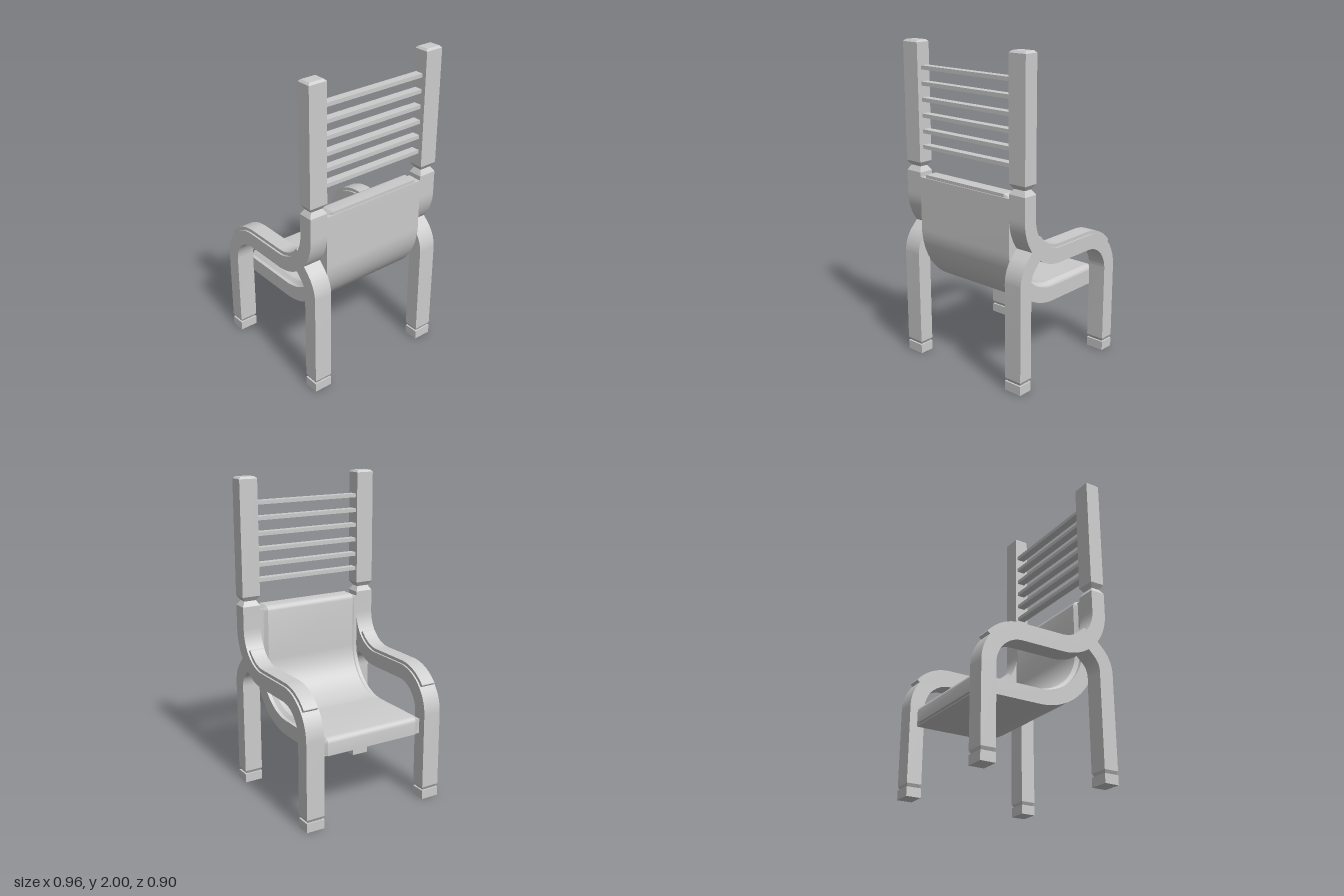
import * as THREE from 'three';
import { toCreasedNormals } from 'three/addons/utils/BufferGeometryUtils.js';

const material = new THREE.MeshStandardMaterial({ color: 0xcccccc });
const W = 0.12, D = 0.095, H = D / 2;   // timber width, depth and half depth
const SIDE = 0.421;                     // x of the side frames
const POST_Z = 0.3725, REAR_Z = 0.4075, FRONT_Z = -0.4025;
const rad = THREE.MathUtils.degToRad;

function add(parent, name, geometry, x = 0, y = 0, z = 0) {
  const mesh = new THREE.Mesh(geometry, material);
  mesh.name = name;
  mesh.position.set(x, y, z);
  parent.add(mesh);
}

// Band following a path in the (z, y) plane between two offsets, with optional rounded upper corners
function ribbon(path, low, high, round = 0) {
  const pts = path.getPoints(20).filter((p, i, a) => i === 0 || p.distanceTo(a[i - 1]) > 1e-3);
  const last = pts.length - 1;
  const dirs = pts.map((p, i) => {
    const d = new THREE.Vector2();
    if (i > 0) d.add(p.clone().sub(pts[i - 1]).normalize());
    if (i < last) d.add(pts[i + 1].clone().sub(p).normalize());
    return d.normalize();
  });
  const at = (i, offset, along = 0) => new THREE.Vector2(
    pts[i].x + dirs[i].y * offset + dirs[i].x * along,
    pts[i].y - dirs[i].x * offset + dirs[i].y * along);
  const corner = (i, sign) => {
    if (!round) return [at(i, high)];
    const out = [];
    for (let k = 0; k <= 4; k++) {
      const a = k / 4 * Math.PI / 2;
      out.push(at(i, high - round * (1 - Math.sin(a)), sign * round * (1 - Math.cos(a))));
    }
    return out;
  };
  const upper = [...corner(0, 1)];
  for (let i = 1; i < last; i++) upper.push(at(i, high));
  upper.push(...corner(last, -1).reverse());
  const lower = pts.map((p, i) => at(i, low)).reverse();
  return new THREE.Shape([...upper, ...lower]);
}

// Extrude a side profile across x, centred
function across(shape, width, bevel = 0) {
  const depth = width - 2 * bevel;
  const g = new THREE.ExtrudeGeometry(shape, {
    depth, bevelEnabled: bevel > 0, bevelThickness: bevel, bevelSize: 0.02, bevelSegments: 1,
  });
  g.translate(0, 0, -depth / 2).rotateY(-Math.PI / 2);
  return toCreasedNormals(g, 0.6);
}

// Timber block standing on its base, inset at the bottom or top
function block(height, insetBottom = 0, insetTop = 0) {
  const g = new THREE.BoxGeometry(W, height, D).translate(0, height / 2, 0);
  const p = g.attributes.position;
  for (let i = 0; i < p.count; i++) {
    const inset = p.getY(i) > height / 2 ? insetTop : insetBottom;
    p.setX(i, p.getX(i) - Math.sign(p.getX(i)) * inset);
    p.setZ(i, p.getZ(i) - Math.sign(p.getZ(i)) * inset);
  }
  g.computeVertexNormals();
  return g;
}

function sideFrame(name) {
  const frame = new THREE.Group();
  frame.name = name;

  // Arm sweeping from the back post into the far leg
  const arm = new THREE.Path();
  arm.moveTo(POST_Z, 1.2);
  arm.lineTo(POST_Z, 1.0575);
  arm.absarc(0.1, 1.0575, 0.2725, 0, -Math.PI / 2, true);
  arm.absarc(-0.18, 0.5625, 0.2225, Math.PI / 2, Math.PI, false);
  arm.lineTo(FRONT_Z, 0.08);
  add(frame, 'armAndLeg', across(ribbon(arm, -H, H), W));

  // Thin pad on the arm
  const pad = new THREE.Path();
  pad.absarc(0.1, 1.0575, 0.2725, rad(-36), rad(-90), true);
  pad.absarc(-0.18, 0.5625, 0.2225, rad(90), rad(141), false);
  add(frame, 'armPad', across(ribbon(pad, 0.04, 0.068, 0.006), 0.096));

  // Leg under the backrest, bending into the arm
  const leg = new THREE.Path();
  leg.moveTo(REAR_Z, 0.08);
  leg.lineTo(REAR_Z, 0.67);
  leg.absarc(REAR_Z - 0.17, 0.67, 0.17, 0, Math.PI / 4, false);
  leg.lineTo(0.315, 0.833);
  add(frame, 'backLeg', across(ribbon(leg, -H, H), W));

  // Feet with a narrowed neck
  for (const z of [REAR_Z, FRONT_Z]) {
    add(frame, 'foot', block(0.058), 0, 0, z);
    add(frame, 'footNeck', block(0.022, 0.012, 0), 0, 0.058, z);
  }

  // Upper post with a waist below and a bevelled top
  add(frame, 'lowerWaist', block(0.032, 0, 0.02), 0, 1.2, POST_Z);
  add(frame, 'upperWaist', block(0.03, 0.02, 0), 0, 1.232, POST_Z);
  add(frame, 'post', block(0.726), 0, 1.262, POST_Z);
  add(frame, 'postCap', block(0.012, 0, 0.012), 0, 1.988, POST_Z);
  return frame;
}

export function createModel() {
  const chair = new THREE.Group();
  chair.name = 'chair';

  for (const s of [1, -1]) {
    const frame = sideFrame(s > 0 ? 'leftFrame' : 'rightFrame');
    frame.position.x = s * SIDE;
    chair.add(frame);
  }

  // Curved seat and back shell
  const seat = new THREE.Path();
  seat.moveTo(POST_Z, 1.172);
  seat.lineTo(POST_Z, 0.8425);
  seat.absarc(0.0125, 0.8425, 0.36, 0, -Math.PI / 2, true);
  seat.lineTo(-0.4, 0.4825);
  add(chair, 'seatShell', across(ribbon(seat, -H, H), 0.726));

  // Bevelled cushion wrapped over the seat
  add(chair, 'cushion', across(ribbon(seat, -0.022, H, 0.015), 0.68, 0.022));

  // Rungs between the posts
  for (let i = 0; i < 6; i++) {
    add(chair, 'rung', new THREE.BoxGeometry(0.74, 0.024, 0.052), 0, 1.357 + i * 0.0965, 0.366);
  }
  return chair;
}
